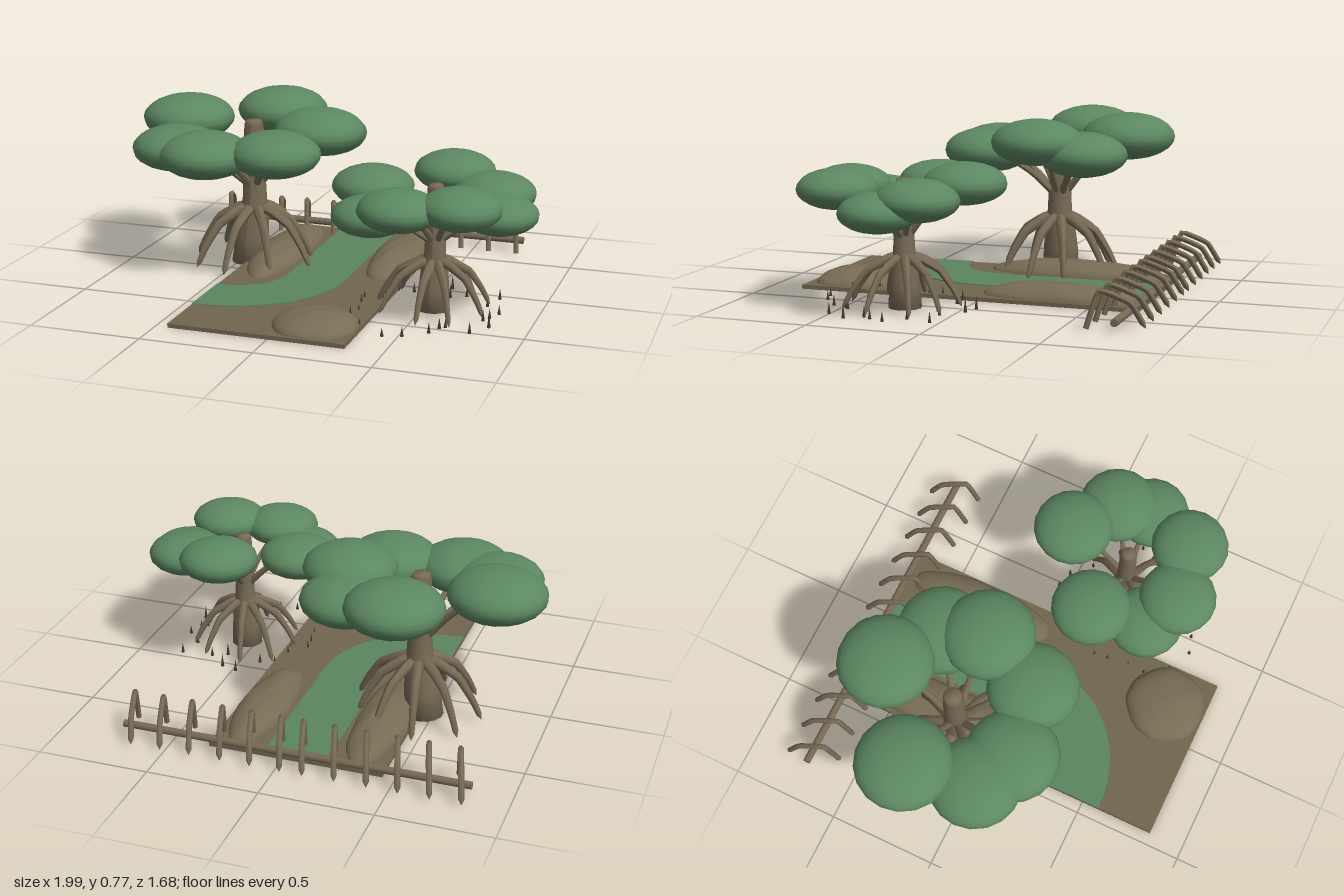
import * as THREE from 'three';

const flat = (name, color) => {
  const m = new THREE.MeshStandardMaterial({ color });
  m.name = name;
  return m;
};

export function createModel() {
  const leaf = flat('leaf green', 0x5c8861);
  const water = flat('water green', 0x5a8560);
  const mud = flat('mud brown', 0x71664f);
  const mound = flat('bank brown', 0x796c55);
  const bark = flat('bark brown', 0x776a54);
  const spike = flat('dark root brown', 0x40372c);

  const model = new THREE.Group();
  model.name = 'mangroveRiverbank';

  let seed = 7;
  const rand = () => (seed = (seed * 16807) % 2147483647) / 2147483647;

  const add = (parent, name, geometry, material, x = 0, y = 0, z = 0) => {
    const mesh = new THREE.Mesh(geometry, material);
    mesh.name = name;
    mesh.position.set(x, y, z);
    parent.add(mesh);
    return mesh;
  };

  // Round limb through points, its radius running from r0 to r1, ends closed
  const limb = (points, r0, r1, segments = 12) => {
    const curve = new THREE.CatmullRomCurve3(points.map(p => new THREE.Vector3(...p)), false, 'catmullrom', 0.15);
    const sides = 7;
    const geo = new THREE.TubeGeometry(curve, segments, 1, sides, false);
    const pos = geo.attributes.position;
    const v = new THREE.Vector3();
    for (let i = 0; i <= segments; i++) {
      const centre = curve.getPointAt(i / segments);
      const r = i === segments ? 0.001 : THREE.MathUtils.lerp(r0, r1, i / segments);
      for (let j = 0; j <= sides; j++) {
        const k = i * (sides + 1) + j;
        v.fromBufferAttribute(pos, k).sub(centre).multiplyScalar(r).add(centre);
        pos.setXYZ(k, v.x, v.y, v.z);
      }
    }
    geo.computeVertexNormals();
    return geo;
  };

  // Ground slab
  add(model, 'mudSlab', new THREE.BoxGeometry(0.78, 0.018, 1.56), mud, -0.055, 0.009, 0.06);

  // River bending from the back edge to the left-hand side
  const river = new THREE.Shape();
  river.moveTo(-0.19, -0.72);
  river.lineTo(0.085, -0.72);
  river.lineTo(0.085, 0.08);
  river.bezierCurveTo(0.085, 0.36, -0.14, 0.58, -0.445, 0.58);
  river.lineTo(-0.445, 0.3);
  river.bezierCurveTo(-0.28, 0.3, -0.19, 0.2, -0.19, 0.06);
  river.closePath();
  const riverGeo = new THREE.ExtrudeGeometry(river, { depth: 0.004, bevelEnabled: false, curveSegments: 16 });
  riverGeo.rotateX(Math.PI / 2);
  add(model, 'river', riverGeo, water, 0, 0.022, 0);

  // Uneven mud banks: half domes with gentle lumps
  const bank = (name, x, z, rx, rz, h) => {
    const geo = new THREE.SphereGeometry(1, 28, 10, 0, Math.PI * 2, 0, Math.PI / 2);
    const pos = geo.attributes.position;
    for (let i = 0; i < pos.count; i++) {
      const a = pos.getX(i), b = pos.getY(i), c = pos.getZ(i);
      const k = 0.97 + 0.03 * Math.sin(5 * a + x * 9) * Math.cos(6 * c + z * 7) + 0.015 * Math.sin(11 * a + 9 * c);
      pos.setXYZ(i, a * k * rx, b * k * h, c * k * rz);
    }
    geo.computeVertexNormals();
    add(model, name, geo, mound, x, 0.012, z);
  };
  bank('rearBank', 0.217, -0.34, 0.12, 0.37, 0.075);
  bank('frontBank', 0.145, 0.65, 0.19, 0.19, 0.072);
  bank('innerBank', -0.322, -0.27, 0.125, 0.44, 0.075);

  // Tree with stilt roots, branches and flat leaf clouds [x, y, z, radius]
  const tree = (name, x, z, s, rootCount, reach, lean, clouds) => {
    const g = new THREE.Group();
    g.name = name;
    model.add(g);
    const profile = [[0, 0], [0.088, 0], [0.08, 0.12], [0.07, 0.24], [0.058, 0.3],
      [0.052, 0.42], [0.045, 0.66], [0.035, 0.68], [0, 0.685]].map(p => new THREE.Vector2(p[0] * s, p[1] * s));
    const trunk = new THREE.LatheGeometry(profile, 14);
    const pos = trunk.attributes.position;
    for (let i = 0; i < pos.count; i++) {
      pos.setX(i, pos.getX(i) - lean * Math.max(0, 1 - pos.getY(i) / (0.3 * s)));
    }
    trunk.computeVertexNormals();
    add(g, 'trunk', trunk, bark, x, 0, z);

    for (let i = 0; i < rootCount; i++) {
      const a = (i + 0.3 + 0.25 * rand()) / rootCount * Math.PI * 2;
      const R = reach * (0.92 + 0.14 * rand());
      const at = (r, y) => [x + Math.cos(a) * r, y * s, z + Math.sin(a) * r];
      add(g, 'stiltRoot', limb([at(0.025, 0.27), at(R * 0.3, 0.255), at(R * 0.62, 0.2), at(R * 0.85, 0.1), at(R, 0.01)],
        0.027 * s, 0.012 * s, 14), bark);
    }
    for (const [cx, cy, cz, r] of clouds) {
      const mix = (t, y) => [x + (cx - x) * t, y, z + (cz - z) * t];
      add(g, 'branch', limb([mix(0.05, 0.37 * s), mix(0.4, 0.37 * s + (cy - 0.37 * s) * 0.5), mix(0.92, cy)],
        0.019 * s, 0.01 * s, 8), bark);
      add(g, 'leafCloud', new THREE.SphereGeometry(1, 18, 12), leaf, cx, cy, cz).scale.set(r, r * 0.5, r);
    }
  };
  tree('largeTree', -0.43, -0.14, 1, 9, 0.29, 0.025, [
    [-0.41, 0.665, -0.475, 0.215], [-0.78, 0.66, -0.2, 0.215], [-0.105, 0.655, -0.13, 0.21],
    [-0.155, 0.6, -0.33, 0.205], [-0.22, 0.6, 0.14, 0.205], [-0.535, 0.585, 0.19, 0.21],
    [-0.71, 0.585, 0.1, 0.205]]);
  tree('smallTree', 0.55, 0.25, 0.82, 9, 0.255, 0.005, [
    [0.56, 0.55, -0.03, 0.18], [0.255, 0.515, 0.2, 0.18], [0.77, 0.5, 0.1, 0.18],
    [0.825, 0.45, 0.25, 0.17], [0.715, 0.525, 0.48, 0.175], [0.465, 0.51, 0.53, 0.175],
    [0.32, 0.45, 0.44, 0.17]]);

  // Breathing roots poking up around the small tree
  for (let i = 0; i < 26; i++) {
    const a = i * 2.39996, r = 0.2 + 0.18 * rand(), h = 0.035 + 0.035 * rand();
    add(model, 'breathingRoot', new THREE.ConeGeometry(0.008, h, 6), spike,
      0.53 + Math.cos(a) * r, h / 2, 0.3 + Math.sin(a) * r);
  }

  // Low rail at the back with arched roots straddling it
  const fence = new THREE.Group();
  fence.name = 'rootFence';
  model.add(fence);
  const rail = new THREE.CylinderGeometry(0.017, 0.017, 1.56, 10);
  rail.rotateZ(Math.PI / 2);
  add(fence, 'rail', rail, bark, -0.05, 0.042, -0.725);
  for (const x of [-0.815, -0.68, -0.545, -0.41, -0.27, -0.13, -0.03, 0.105, 0.24, 0.38, 0.515, 0.65]) {
    add(fence, 'archedRoot', limb([[x + 0.07, 0.01, -0.605], [x + 0.055, 0.165, -0.655],
      [x + 0.02, 0.115, -0.775], [x, 0.012, -0.835]], 0.012, 0.013, 18), bark);
  }
  return model;
}
